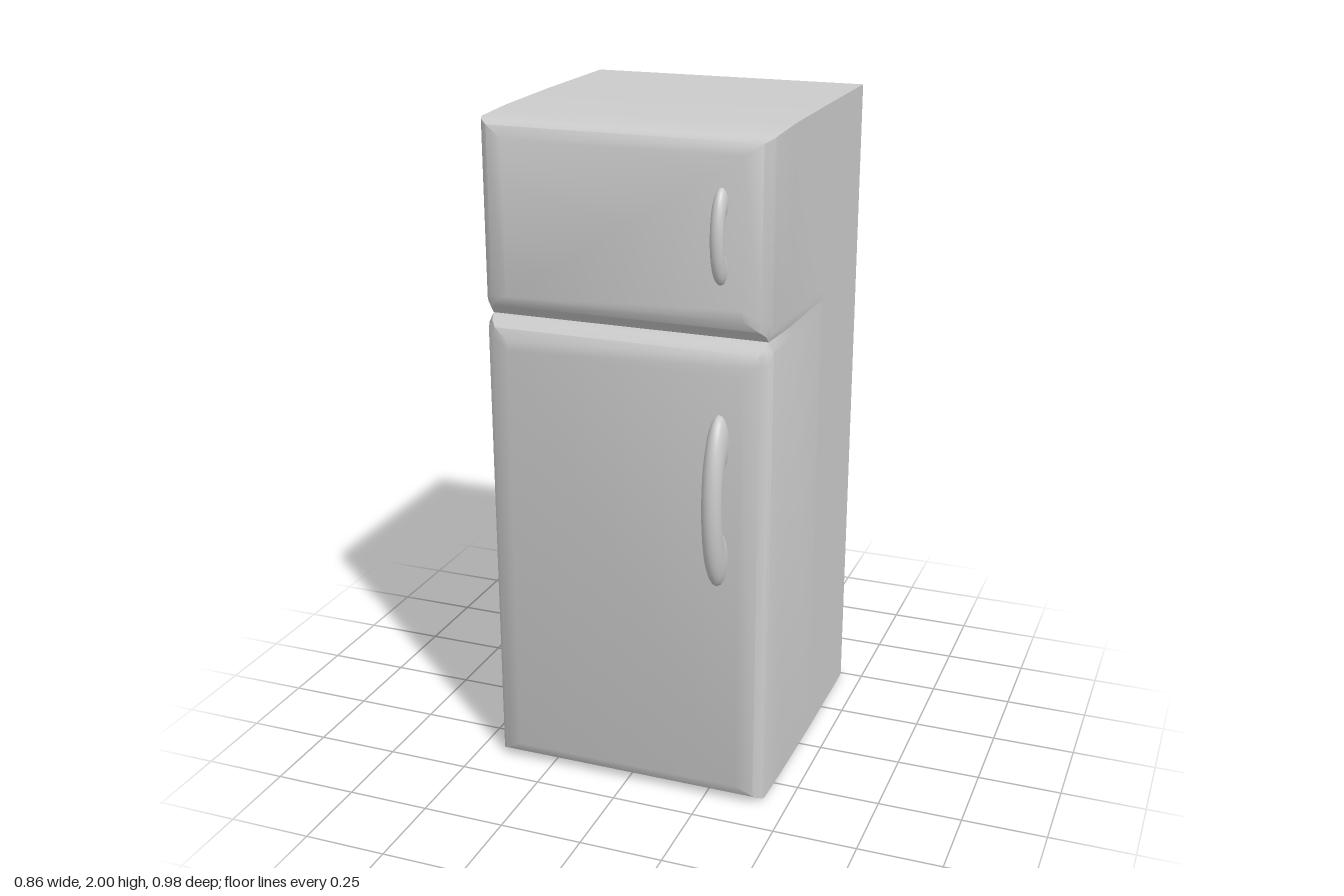
import * as THREE from 'three';
import { toCreasedNormals } from 'three/addons/utils/BufferGeometryUtils.js';

const SEAM = 1.43, TOP = 2, HALF = 0.43, BACK = -0.49, SPLIT = -0.1;

// Skin a stack of rings (counter-clockwise seen from +z, ordered back to front)
function loft(rings, { capFront = false, capBack = false, skip = () => false }) {
  const n = rings[0].length, index = [];
  rings.slice(1).forEach((_, i) => {
    for (let j = 0; j < n; j++) {
      if (skip(i, j)) continue;
      const a = i * n + j, b = i * n + (j + 1) % n;
      index.push(a, b, b + n, a, b + n, a + n);
    }
  });
  const last = (rings.length - 1) * n;
  for (let j = 1; j < n - 1; j++) {
    if (capFront) index.push(last, last + j, last + j + 1);
    if (capBack) index.push(0, j + 1, j);
  }
  const geo = new THREE.BufferGeometry();
  geo.setAttribute('position', new THREE.Float32BufferAttribute(rings.flat(2), 3));
  geo.setIndex(index);
  return toCreasedNormals(geo, 0.6);
}

// Door profile: z, half width, half width at the seam, rise from the seam, inset of the far edge
const PROFILE = [
  [SPLIT, 0.43, 0.43, 0, 0],
  [0.2, 0.428, 0.424, 0, 0.003],
  [0.355, 0.427, 0.412, 0, 0.01],
  [0.37, 0.422, 0.41, 0.018, 0.015],
  [0.387, 0.4, 0.395, 0.034, 0.027],
  [0.403, 0.35, 0.35, 0.065, 0.06],
];

// dir +1: door above the seam, -1: door below it
function doorGeometry(dir) {
  const far = dir > 0 ? TOP : 0;
  const rings = PROFILE.map(([z, x, xs, rise, inset]) => {
    const y0 = SEAM + dir * rise, y1 = y0 + dir * 0.03, y2 = far - dir * inset;
    const ring = [[-xs, y0, z], [xs, y0, z], [x, y1, z], [x, y2, z], [-x, y2, z], [-x, y1, z]];
    return dir > 0 ? ring : ring.reverse();
  });
  // the doors touch along the seam behind the groove, so that wall is left out
  const seamEdge = dir > 0 ? 0 : 4;
  return loft(rings, { capFront: true, skip: (i, j) => i < 2 && j === seamEdge });
}

// Half of a stretched torus, bulging towards +z
function handleGeometry(width, height, depth) {
  const geo = new THREE.TorusGeometry(0.67, 0.33, 20, 32, Math.PI);
  geo.rotateZ(-Math.PI / 2).rotateY(-Math.PI / 2);
  return geo.scale(width / 0.66, height / 2, depth);
}

export function createModel() {
  const group = new THREE.Group();
  const material = new THREE.MeshStandardMaterial({ color: 0xcccccc });
  const add = (name, geo, x = 0, y = 0, z = 0) => {
    const mesh = new THREE.Mesh(geo, material);
    mesh.name = name;
    mesh.position.set(x, y, z);
    group.add(mesh);
  };

  // Cabinet: back, sides, top and bottom
  const cabinet = [BACK, SPLIT].map((z) =>
    [[-HALF, 0, z], [HALF, 0, z], [HALF, TOP, z], [-HALF, TOP, z]]);
  add('cabinet', loft(cabinet, { capBack: true }));

  // Doors with bevelled fronts and a groove between them
  add('freezerDoor', doorGeometry(1));
  add('fridgeDoor', doorGeometry(-1));

  // Handles
  add('freezerHandle', handleGeometry(0.038, 0.265, 0.052), 0.29, 1.722, 0.403);
  add('fridgeHandle', handleGeometry(0.058, 0.515, 0.087), 0.29, 0.965, 0.403);

  return group;
}
